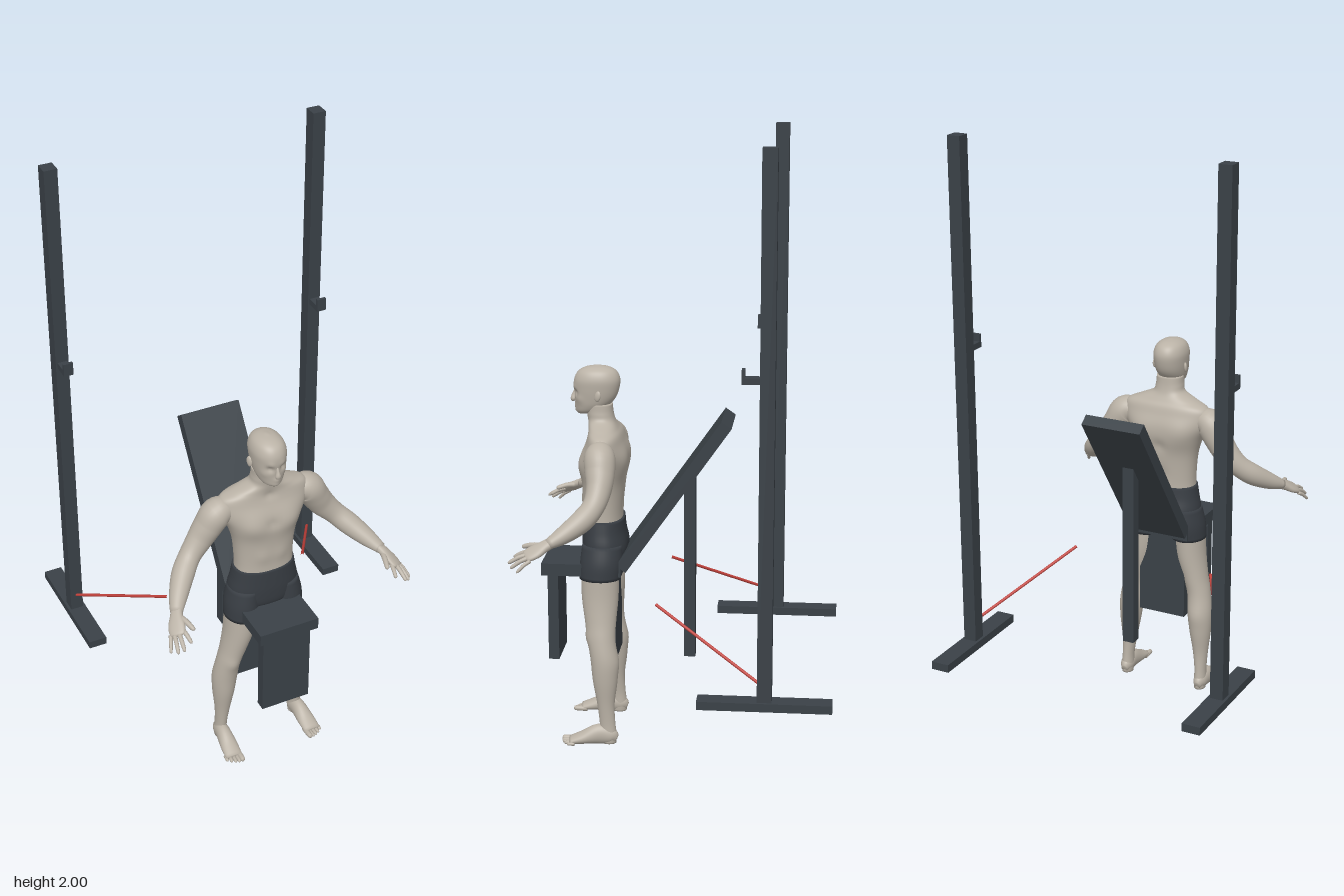
import * as THREE from 'three';

const mat = (name, color) => {
  const m = new THREE.MeshStandardMaterial({ color });
  m.name = name;
  return m;
};

// Smooth skin over elliptical sections [x, y, z, sideRadius, depthRadius].
// ref sets the roll; fixed keeps every section square to one direction;
// bumps [x, y, z, reach, push] swell or hollow the surface.
function loft(sections, { ref = [0, 1, 0], fixed = null, power = 2, bumps = [], n = 32, steps = 5 } = {}) {
  const path = new THREE.CatmullRomCurve3(sections.map(s => new THREE.Vector3(s[0], s[1], s[2])), false, 'catmullrom');
  const size = new THREE.CatmullRomCurve3(sections.map(s => new THREE.Vector3(s[3], s[4], 0)), false, 'catmullrom');
  const rings = (sections.length - 1) * steps;
  const pos = [], index = [];
  const up = new THREE.Vector3(...ref);
  const shape = c => Math.sign(c) * Math.abs(c) ** (2 / power);
  for (let i = 0; i <= rings; i++) {
    const c = path.getPoint(i / rings), r = size.getPoint(i / rings);
    const t = fixed ? new THREE.Vector3(...fixed) : path.getTangent(i / rings);
    const u = up.clone().cross(t).normalize(), v = t.clone().cross(u);
    for (let j = 0; j < n; j++) {
      const a = j / n * Math.PI * 2;
      const d = u.clone().multiplyScalar(shape(Math.cos(a)) * r.x).addScaledVector(v, shape(Math.sin(a)) * r.y);
      const p = c.clone().add(d);
      let push = 0;
      for (const b of bumps) {
        const q = ((p.x - b[0]) ** 2 + (p.y - b[1]) ** 2 + (p.z - b[2]) ** 2) / (b[3] * b[3]);
        push += b[4] * Math.exp(-q);
      }
      p.addScaledVector(d.normalize(), push);
      pos.push(p.x, p.y, p.z);
    }
  }
  for (let i = 0; i < rings; i++) for (let j = 0; j < n; j++) {
    const k = (j + 1) % n, a = i * n + j, b = i * n + k, c = a + n, d = b + n;
    index.push(a, b, c, b, d, c);
  }
  // end caps
  const first = sections[0], last = sections[sections.length - 1], m = pos.length / 3;
  pos.push(...first.slice(0, 3), ...last.slice(0, 3));
  for (let j = 0; j < n; j++) {
    const k = (j + 1) % n;
    index.push(m, k, j, m + 1, rings * n + j, rings * n + k);
  }
  const g = new THREE.BufferGeometry();
  g.setAttribute('position', new THREE.Float32BufferAttribute(pos, 3));
  g.setIndex(index);
  g.computeVertexNormals();
  return g;
}

const UPRIGHT = { ref: [0, 0, -1], fixed: [0, 1, 0] };
const mirrored = list => list.flatMap(([x, ...rest]) => [[x, ...rest], [-x, ...rest]]);

export function createModel() {
  const model = new THREE.Group();
  model.name = 'trainingStation';
  const skin = mat('skin', 0xbab2a6);
  const cloth = mat('shortsCloth', 0x383d43);
  const steel = mat('darkSteel', 0x3a4147);
  const rubber = mat('redBand', 0xc2423c);

  const add = (parent, name, geometry, material) => {
    const mesh = new THREE.Mesh(geometry, material);
    mesh.name = name;
    parent.add(mesh);
    return mesh;
  };
  const group = name => {
    const g = new THREE.Group();
    g.name = name;
    model.add(g);
    return g;
  };
  // box from its bounds
  const box = (parent, name, x0, x1, y0, y1, z0, z1) => {
    const b = add(parent, name, new THREE.BoxGeometry(x1 - x0, y1 - y0, z1 - z0), steel);
    b.position.set((x0 + x1) / 2, (y0 + y1) / 2, (z0 + z1) / 2);
    return b;
  };

  // Bench
  const bench = group('bench');
  box(bench, 'seat', -0.104, 0.104, 0.567, 0.608, 0.19, 0.453);
  box(bench, 'frontSeatLeg', -0.085, 0.085, 0.27, 0.567, 0.4, 0.435);
  box(bench, 'rearSeatLeg', -0.085, 0.085, 0.27, 0.567, 0.21, 0.245);
  box(bench, 'backrestSupport', -0.02, 0.02, 0.27, 0.9, -0.048, -0.01);
  const back = box(bench, 'backrest', -0.104, 0.104, -0.3, 0.3, -0.02, 0.02);
  back.position.set(0, 0.841, 0.018);
  back.rotation.x = -0.612;

  // Uprights with foot, hook and band
  for (const s of [1, -1]) {
    const rack = group(s > 0 ? 'leftUpright' : 'rightUpright');
    const c = s * 0.453;
    box(rack, 'foot', c - 0.031, c + 0.031, 0.27, 0.297, -0.512, -0.09);
    box(rack, 'post', c - 0.022, c + 0.022, 0.297, 2, -0.324, -0.278);
    box(rack, 'hookArm', c - 0.016, c + 0.016, 1.302, 1.322, -0.278, -0.225);
    box(rack, 'hookLip', c - 0.016, c + 0.016, 1.302, 1.346, -0.233, -0.223);
    const band = new THREE.LineCurve3(new THREE.Vector3(c, 0.355, -0.28), new THREE.Vector3(s * 0.253, 0.53, 0.058));
    add(rack, 'resistanceBand', new THREE.TubeGeometry(band, 1, 0.005, 8), rubber);
  }

  // Torso and neck
  const figure = group('figure');
  add(figure, 'torso', loft([
    [0, 0.72, 0.258, 0.1, 0.065], [0, 0.78, 0.257, 0.099, 0.065], [0, 0.86, 0.255, 0.106, 0.07],
    [0, 0.92, 0.252, 0.124, 0.077], [0, 0.97, 0.248, 0.148, 0.073], [0, 1.01, 0.247, 0.155, 0.061],
    [0, 1.035, 0.248, 0.145, 0.054], [0, 1.053, 0.253, 0.105, 0.048], [0, 1.075, 0.26, 0.056, 0.044],
    [0, 1.1, 0.265, 0.047, 0.043], [0, 1.13, 0.268, 0.045, 0.043],
  ], {
    ...UPRIGHT, power: 2.3, n: 64, steps: 6, bumps: [
      ...mirrored([[0.06, 0.94, 0.32, 0.042, 0.01], [0.07, 0.95, 0.18, 0.045, 0.008], [0.03, 0.81, 0.32, 0.025, 0.004]]),
      [0, 0.94, 0.33, 0.018, -0.006], [0, 0.9, 0.175, 0.022, -0.007], [0, 0.8, 0.19, 0.022, -0.006], [0, 1.035, 0.3, 0.015, -0.006],
    ],
  }), skin);

  // Head with brow, eye sockets, lips and chin
  add(figure, 'head', loft([
    [0, 1.095, 0.316, 0.015, 0.018], [0, 1.105, 0.303, 0.033, 0.038], [0, 1.125, 0.289, 0.044, 0.055],
    [0, 1.15, 0.28, 0.05, 0.067], [0, 1.18, 0.276, 0.054, 0.074], [0, 1.21, 0.274, 0.055, 0.075],
    [0, 1.235, 0.273, 0.046, 0.063], [0, 1.249, 0.272, 0.028, 0.039], [0, 1.255, 0.272, 0.004, 0.006],
  ], {
    ...UPRIGHT, power: 2.15, n: 56, steps: 6, bumps: [
      ...mirrored([[0.021, 1.168, 0.342, 0.011, -0.009], [0.02, 1.184, 0.347, 0.012, 0.003], [0.033, 1.148, 0.325, 0.014, 0.003]]),
      [0, 1.123, 0.345, 0.011, 0.005], [0, 1.104, 0.34, 0.012, 0.005],
    ],
  }), skin);
  add(figure, 'nose', loft([
    [0, 1.176, 0.343, 0.004, 0.005], [0, 1.158, 0.349, 0.006, 0.008], [0, 1.143, 0.352, 0.01, 0.01], [0, 1.136, 0.348, 0.006, 0.006],
  ], { ref: [0, 0, 1], n: 16 }), skin);

  // Shorts
  add(figure, 'shortsBody', loft([
    [0, 0.585, 0.252, 0.06, 0.045], [0, 0.61, 0.252, 0.108, 0.068], [0, 0.66, 0.252, 0.12, 0.074],
    [0, 0.71, 0.255, 0.111, 0.071], [0, 0.75, 0.256, 0.104, 0.069],
  ], { ...UPRIGHT, power: 2.3, n: 48, bumps: mirrored([[0.055, 0.65, 0.18, 0.04, 0.005]]) }), cloth);

  for (const s of [1, -1]) {
    const side = s > 0 ? 'left' : 'right';
    const flip = list => list.map(([x, ...rest]) => [x * s, ...rest]);
    const part = (name, pts, opts) => add(figure, side + name, loft(flip(pts), opts), skin);

    const ear = add(figure, side + 'Ear', new THREE.SphereGeometry(1, 16, 12), skin);
    ear.scale.set(0.006, 0.018, 0.011);
    ear.position.set(s * 0.056, 1.162, 0.266);
    ear.rotation.set(-0.2, s * -0.4, 0);

    add(figure, side + 'ShortsLeg', loft(flip([
      [0.078, 0.557, 0.261, 0.059, 0.068], [0.076, 0.61, 0.257, 0.058, 0.07], [0.068, 0.67, 0.254, 0.052, 0.066],
    ]), UPRIGHT), cloth);

    // Leg with calf and kneecap
    part('Leg', [
      [0.142, 0.004, 0.228, 0.019, 0.024], [0.142, 0.03, 0.229, 0.021, 0.027], [0.141, 0.075, 0.233, 0.02, 0.026],
      [0.138, 0.14, 0.238, 0.026, 0.029], [0.135, 0.22, 0.24, 0.037, 0.041], [0.131, 0.29, 0.243, 0.042, 0.045],
      [0.122, 0.36, 0.253, 0.04, 0.046], [0.106, 0.42, 0.257, 0.043, 0.052], [0.088, 0.5, 0.26, 0.05, 0.061],
      [0.08, 0.6, 0.26, 0.054, 0.063],
    ], { ...UPRIGHT, bumps: [[s * 0.124, 0.365, 0.3, 0.022, 0.005], [s * 0.13, 0.28, 0.2, 0.03, 0.004]] });

    // Foot and toes
    part('Foot', [
      [0.143, 0.018, 0.202, 0.011, 0.013], [0.143, 0.028, 0.222, 0.022, 0.028], [0.145, 0.034, 0.262, 0.025, 0.034],
      [0.148, 0.021, 0.315, 0.03, 0.021], [0.15, 0.011, 0.358, 0.029, 0.011],
    ]);
    for (let i = 0; i < 5; i++) {
      const x = 0.128 + i * 0.0118, r = i ? 0.0062 : 0.009, tip = 0.387 - i * i * 0.0014;
      part('Toe' + (i + 1), [[x, r, 0.34, r, r], [x + 0.001, r + 0.001, tip - 0.012, r, r],
        [x + 0.002, r, tip - 0.003, r * 0.75, r * 0.75], [x + 0.002, r, tip, r * 0.2, r * 0.2]], { n: 12, steps: 3 });
    }

    // Arm
    part('Arm', [
      [0.115, 0.995, 0.248, 0.035, 0.035], [0.158, 0.985, 0.247, 0.05, 0.05], [0.188, 0.942, 0.243, 0.048, 0.047],
      [0.219, 0.895, 0.243, 0.041, 0.043], [0.26, 0.85, 0.256, 0.036, 0.036], [0.298, 0.814, 0.288, 0.037, 0.036],
      [0.338, 0.779, 0.34, 0.03, 0.028], [0.366, 0.756, 0.385, 0.02, 0.016],
    ]);

    // Open hand
    const roll = { ref: [0.5 * s, 1, 0] };
    part('Palm', [
      [0.358, 0.762, 0.372, 0.019, 0.015], [0.37, 0.751, 0.395, 0.021, 0.014], [0.382, 0.737, 0.422, 0.028, 0.012],
      [0.39, 0.725, 0.447, 0.025, 0.009], [0.392, 0.721, 0.454, 0.015, 0.004],
    ], { ...roll, power: 2.3 });
    const fingers = [
      ['Thumb', [0.362, 0.75, 0.405], [0.343, 0.74, 0.47], 0.009],
      ['IndexFinger', [0.372, 0.733, 0.442], [0.363, 0.712, 0.493], 0.007],
      ['MiddleFinger', [0.386, 0.727, 0.446], [0.393, 0.7, 0.507], 0.0072],
      ['RingFinger', [0.399, 0.72, 0.443], [0.41, 0.689, 0.497], 0.007],
      ['LittleFinger', [0.408, 0.714, 0.434], [0.426, 0.68, 0.475], 0.006],
    ];
    for (const [name, a, b, r] of fingers) {
      const at = (t, k, lift) => [...a.map((v, i) => v + (b[i] - v) * t + (i === 1 ? lift : 0)), r * k, r * k];
      part(name, [at(0, 1.1, 0), at(0.45, 1, 0.004), at(0.9, 0.8, 0.001), at(1, 0.2, 0)], { ...roll, n: 12, steps: 4 });
    }
  }
  return model;
}
